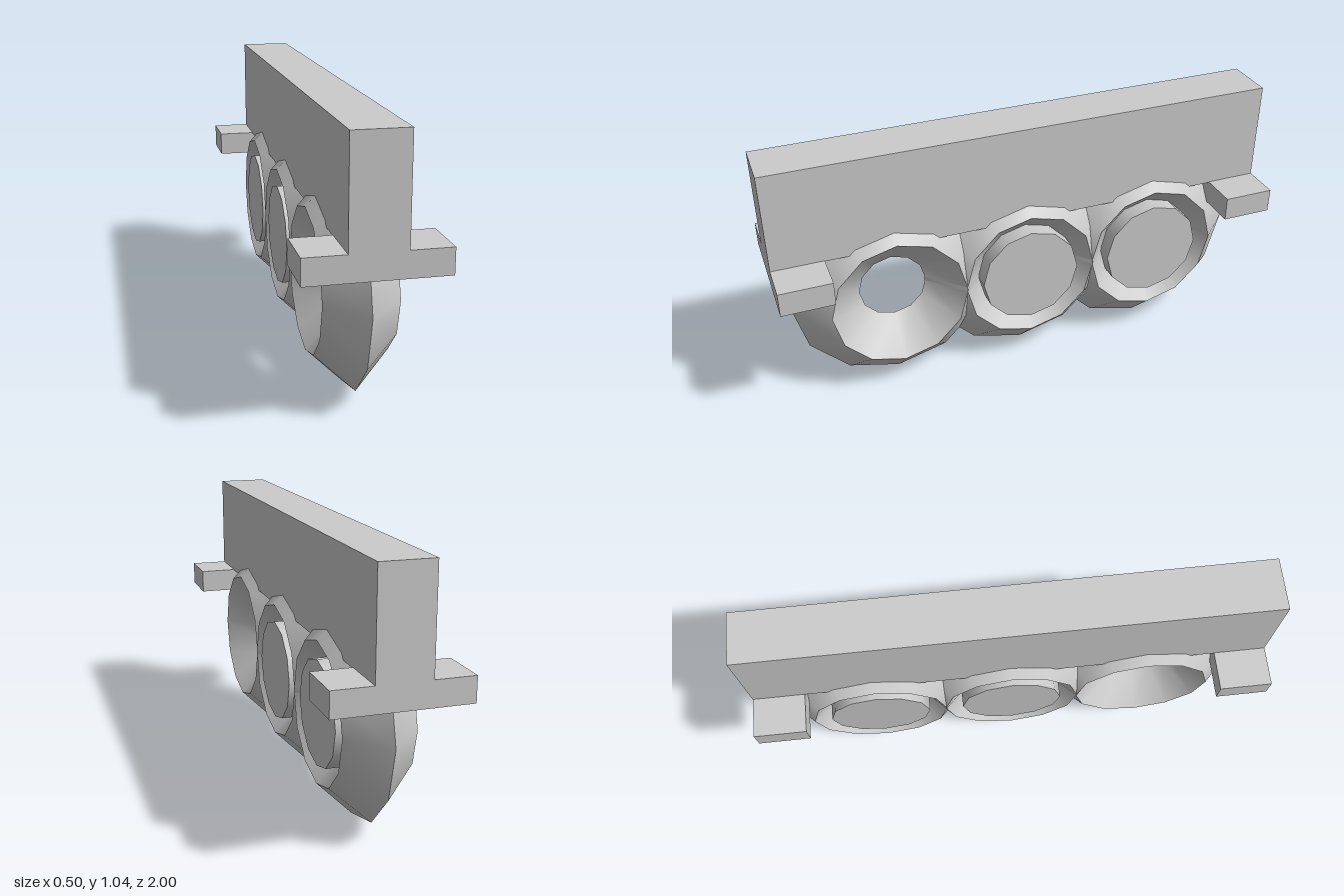
import * as THREE from 'three';
import { toCreasedNormals } from 'three/addons/utils/BufferGeometryUtils.js';

export function createModel() {
  const model = new THREE.Group();
  const material = new THREE.MeshStandardMaterial({ color: 0xcccccc });

  function add(name, geometry, x, y, z) {
    const mesh = new THREE.Mesh(geometry, material);
    mesh.name = name;
    mesh.position.set(x, y, z);
    model.add(mesh);
  }

  // Long upright beam
  add('beam', new THREE.BoxGeometry(0.2, 0.393, 2), 0, 0.8485, 0);

  // Cross plates under both ends of the beam
  const plate = new THREE.BoxGeometry(0.5, 0.095, 0.2);
  add('frontCrossPlate', plate, 0, 0.6075, 0.9);
  add('backCrossPlate', plate, 0, 0.6075, -0.9);

  // Overlapping rings with a diamond section: smooth around, sharp at the crests
  const ring = toCreasedNormals(
    new THREE.TorusGeometry(0.27, 0.136, 4, 12).rotateY(Math.PI / 2), 0.8);
  // Round plug that closes a ring
  const plug = new THREE.CylinderGeometry(0.2, 0.2, 0.27, 12).rotateZ(Math.PI / 2);

  const y = 0.408;
  [['front', 0.535], ['middle', 0], ['back', -0.535]].forEach(([place, z]) => {
    add(place + 'Ring', ring, 0, y, z);
    if (place !== 'front') add(place + 'Plug', plug, 0, y, z);
  });

  return model;
}
